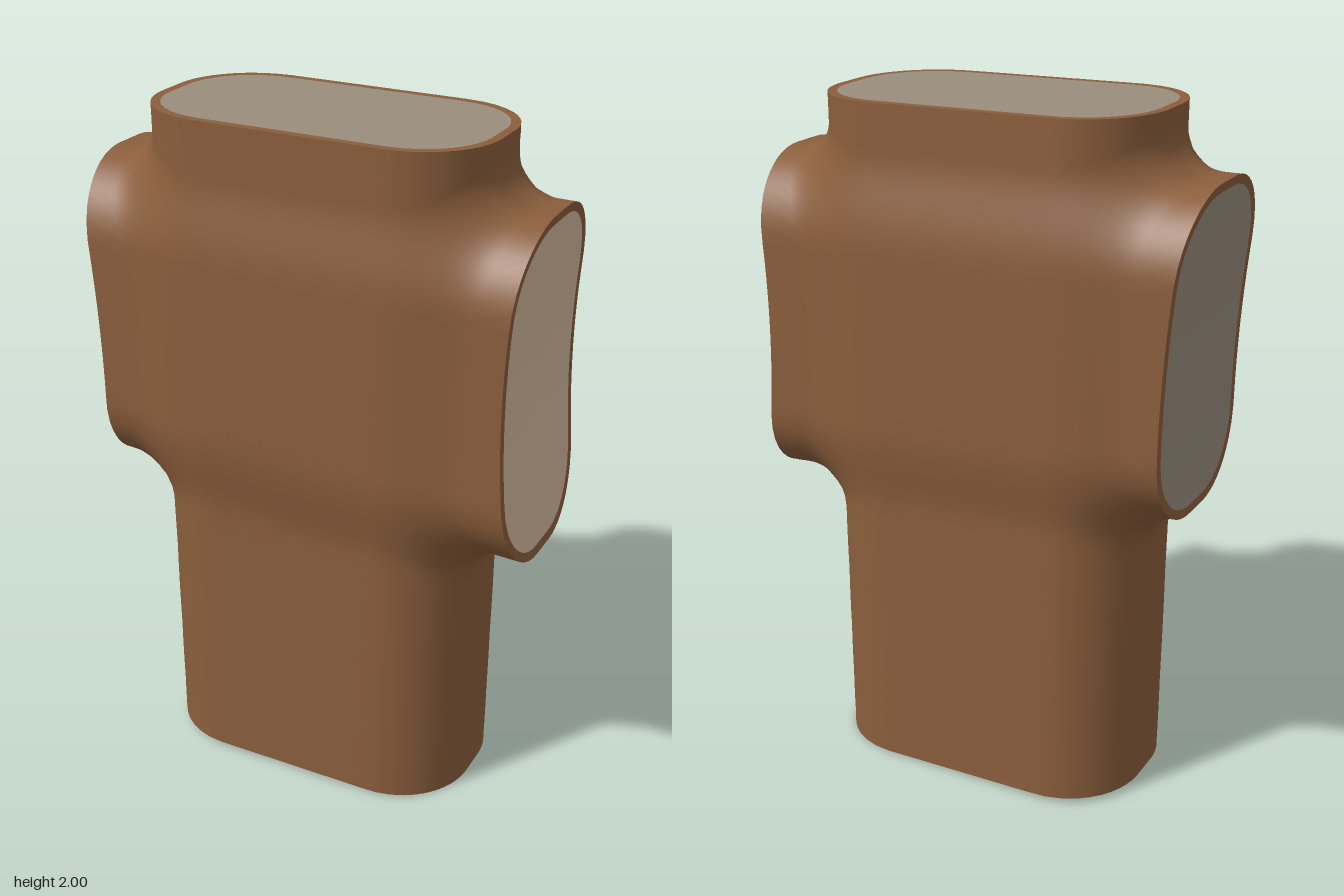
import * as THREE from 'three';

const CENTRE = new THREE.Vector3(0, 1.33, 0);
const FILLET = 0.115;
const AROUND = 72;

// Signed distance to a rounded rectangle (half sizes a, b)
function oval(u, v, a, b, r = 0.23) {
  const du = Math.abs(u) - a + r, dv = Math.abs(v) - b + r;
  return Math.hypot(Math.max(du, 0), Math.max(dv, 0)) + Math.min(Math.max(du, dv), 0) - r;
}
// Upright tube, leaning very slightly
const upright = p => oval(p.x + 0.013 - 0.0065 * p.y, p.z + 0.0175 - 0.015 * p.y, 0.48 + 0.009 * p.y, 0.277);
// Crosswise sleeve, slightly larger on one side
const sleeve = p => oval(p.y - 1.34 + 0.04 * p.x, p.z, 0.478 + 0.02 * p.x, 0.279);
// Both tubes joined with a round fillet
function body(p) {
  const a = upright(p), b = sleeve(p);
  return Math.max(FILLET, Math.min(a, b)) - Math.hypot(Math.max(FILLET - a, 0), Math.max(FILLET - b, 0));
}

// Finds k where at(k) changes from inside to outside
function solve(at, field, lo, hi) {
  for (let i = 0; i < 32; i++) {
    const mid = (lo + hi) / 2;
    if (field(at(mid)) < 0) lo = mid; else hi = mid;
  }
  return at((lo + hi) / 2);
}
const along = (dir, k) => CENTRE.clone().addScaledVector(dir, k);

function normalAt(p) {
  const e = 0.002;
  const d = ['x', 'y', 'z'].map(k => {
    const q = p.clone(), r = p.clone();
    q[k] += e;
    r[k] -= e;
    return body(q) - body(r);
  });
  return new THREE.Vector3(...d).normalize();
}

// Skins a list of closed rings
function skin(rings, normals) {
  const pos = [], nor = [], idx = [];
  const n = rings[0].length;
  rings.forEach(ring => ring.forEach(p => {
    pos.push(p.x, p.y, p.z);
    if (normals) nor.push(...normalAt(p).toArray());
  }));
  for (let j = 0; j < rings.length - 1; j++) {
    for (let i = 0; i < n; i++) {
      const i2 = (i + 1) % n;
      const a = j * n + i, b = j * n + i2, c = a + n, d = b + n;
      idx.push(a, c, b, b, c, d);
    }
  }
  const g = new THREE.BufferGeometry();
  g.setAttribute('position', new THREE.Float32BufferAttribute(pos, 3));
  g.setIndex(idx);
  if (normals) g.setAttribute('normal', new THREE.Float32BufferAttribute(nor, 3));
  else g.computeVertexNormals();
  return g;
}

export function createModel() {
  const brown = new THREE.MeshStandardMaterial({ color: 0x8b5e3c });
  brown.name = 'brown';
  const tan = new THREE.MeshStandardMaterial({ color: 0xd2b99d });
  tan.name = 'tan';
  const grey = new THREE.MeshStandardMaterial({ color: 0x9a8d7d });
  grey.name = 'warmGrey';

  const bow = y => 0.037 * ((y - 1.33) / 0.48) ** 2;
  // Each opening: outward angle, tube and the surface that cuts it off
  const arms = [
    { name: 'leftSleeve', angle: 0, tube: sleeve, cap: tan, cut: p => { p.x = 0.613 + bow(p.y); } },
    { name: 'neck', angle: Math.PI / 2, tube: upright, cap: grey, cut: p => { p.y = 1.993 - 0.015 * p.x; } },
    { name: 'rightSleeve', angle: Math.PI, tube: sleeve, cap: grey,
      cut: p => { p.x = -0.608 - 0.7 * bow(p.y) - 0.045 * (p.y - 1.33); } },
    { name: 'hem', angle: -Math.PI / 2, tube: upright, cap: grey, cut: p => { p.y = 0.009 - 0.018 * p.x; } },
  ];

  const model = new THREE.Group();
  model.name = 'garmentTorso';

  for (const { name, angle, tube, cap, cut } of arms) {
    const across = new THREE.Vector3(-Math.sin(angle), Math.cos(angle), 0);
    const base = tube === sleeve ? CENTRE : new THREE.Vector3();
    const ring = fn => Array.from({ length: AROUND }, (_, i) => fn(i / AROUND * Math.PI * 2, i));

    // Loop around the opening, inset from the tube wall
    const loop = inset => ring(t => solve(k => {
      const p = base.clone().addScaledVector(across, k * 0.49 * Math.sin(t));
      p.z = k * 0.277 * Math.cos(t);
      cut(p);
      return p;
    }, p => tube(p) + inset, 0, 2));

    // Seam shared with the neighbouring arms
    const seam = ring(t => {
      const s = Math.sin(t), a = angle + (s > 0 ? 1 : -1) * Math.PI / 4;
      const dir = new THREE.Vector3(Math.cos(a) * Math.abs(s), Math.sin(a) * Math.abs(s), Math.cos(t));
      return solve(k => along(dir, k), body, 0, 2);
    });

    const outer = loop(0), inner = loop(0.026);
    const rows = 22;
    const rings = Array.from({ length: rows + 1 }, (_, j) => j === rows ? outer : ring((t, i) => {
      const dir = seam[i].clone().lerp(outer[i], j / rows).sub(CENTRE);
      return solve(k => along(dir, k), body, 0.4, 1.6);
    }));

    // Cap rings shrink to the middle and follow the cut
    const middle = inner.reduce((m, p) => m.addScaledVector(p, 1 / AROUND), new THREE.Vector3());
    const capRings = [0, 0.2, 0.4, 0.6, 0.8, 1].map(w => inner.map(p => {
      const q = p.clone().lerp(middle, w);
      cut(q);
      return q;
    }));

    const add = (part, geometry, material) => {
      const mesh = new THREE.Mesh(geometry, material);
      mesh.name = name + part;
      model.add(mesh);
    };
    add('Cloth', skin(rings, true), brown);
    add('Rim', skin([outer, inner]), brown);
    add('Cap', skin(capRings), cap);
  }
  return model;
}
